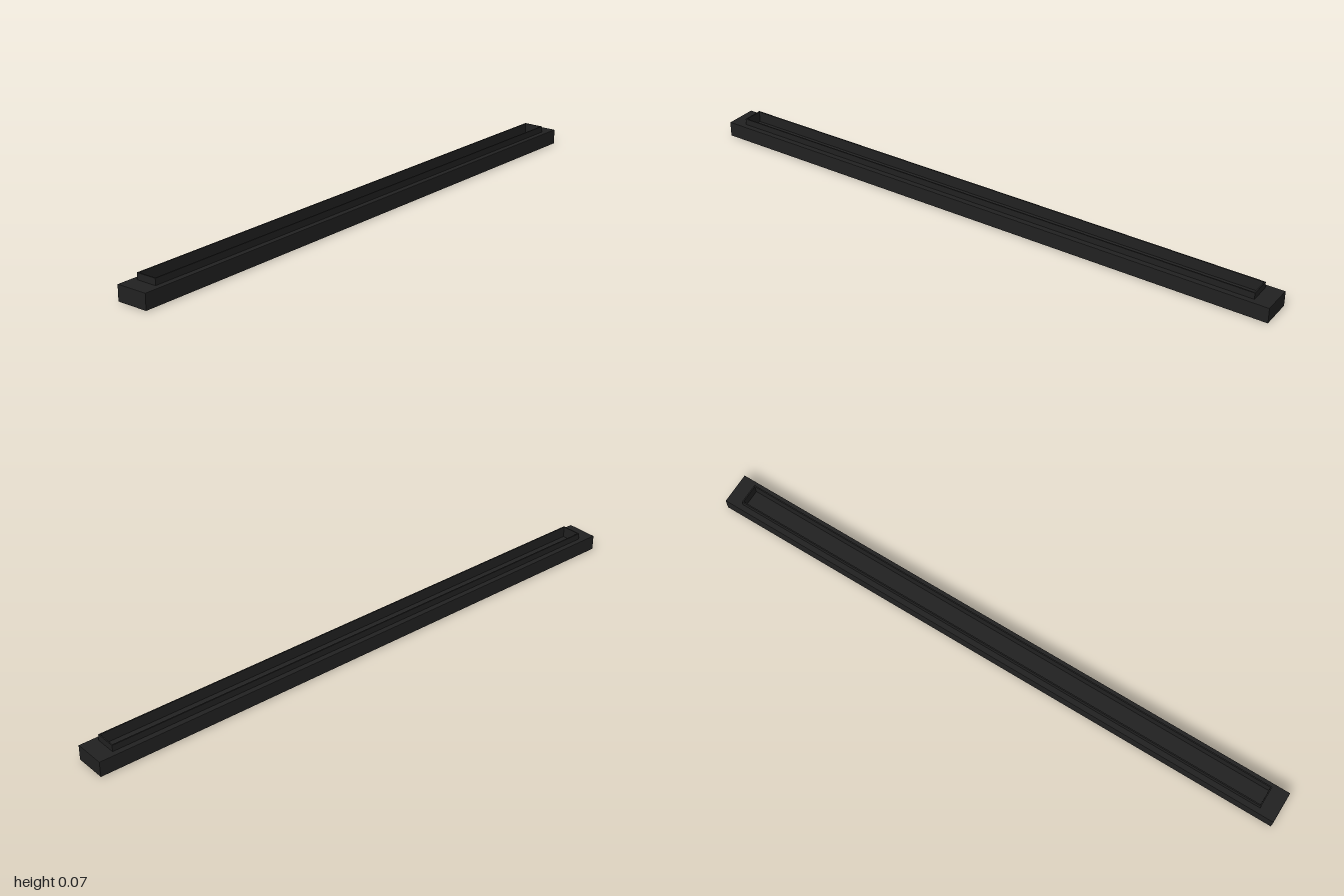
import * as THREE from 'three';

const black = new THREE.MeshStandardMaterial({ color: 0x222222 });
const grey = new THREE.MeshStandardMaterial({ color: 0xcccccc });

export function createModel() {
  const group = new THREE.Group();

  function add(name, geometry, material, x = 0, y = 0, z = 0) {
    const mesh = new THREE.Mesh(geometry, material);
    mesh.name = name;
    mesh.position.set(x, y, z);
    group.add(mesh);
    return mesh;
  }

  const box = (name, w, h, l, y, x = 0, z = 0, material = black) =>
    add(name, new THREE.BoxGeometry(w, h, l), material, x, y, z);

  function rectangle(target, w, l) {
    target.moveTo(-w, -l).lineTo(w, -l).lineTo(w, l).lineTo(-w, l).closePath();
    return target;
  }

  // Upright rectangular frame: half sizes, opening half sizes, bottom and top
  function frame(name, w, l, innerW, innerL, y0, y1, bevel = 0) {
    const shape = rectangle(new THREE.Shape(), w - bevel, l - bevel);
    shape.holes.push(rectangle(new THREE.Path(), innerW + bevel, innerL + bevel));
    const geometry = new THREE.ExtrudeGeometry(shape, {
      depth: y1 - y0 - 2 * bevel,
      bevelEnabled: bevel > 0, bevelSize: bevel, bevelThickness: bevel, bevelSegments: 2,
    });
    geometry.translate(0, 0, bevel);
    geometry.rotateX(-Math.PI / 2);
    add(name, geometry, black, 0, y0);
  }

  // Hollow housing, its top ledge and the raised rim of the tray
  frame('housingWalls', 0.053, 1, 0.047, 0.994, 0.001, 0.052, 0.0015);
  frame('topLedge', 0.05, 0.997, 0.031, 0.941, 0.047, 0.052);
  frame('trayRim', 0.035, 0.945, 0.031, 0.941, 0.032, 0.073);

  // Tray floor, which closes the underside recess
  box('trayFloor', 0.096, 0.004, 1.99, 0.034);

  // Ribs along the recess
  for (const side of [-1, 1]) {
    for (const x of [0.026, 0.038]) box('recessRib', 0.004, 0.014, 1.988, 0.025, side * x);
  }

  // Lamp with its backing strip and end holders
  box('lampBacking', 0.03, 0.008, 1.82, 0.028, 0, 0, grey);
  const tube = new THREE.CylinderGeometry(0.011, 0.011, 1.78, 20);
  tube.rotateX(Math.PI / 2);
  add('lampTube', tube, grey, 0, 0.011);
  for (const end of [-1, 1]) box('lampHolder', 0.026, 0.026, 0.016, 0.019, 0, end * 0.897);

  return group;
}
